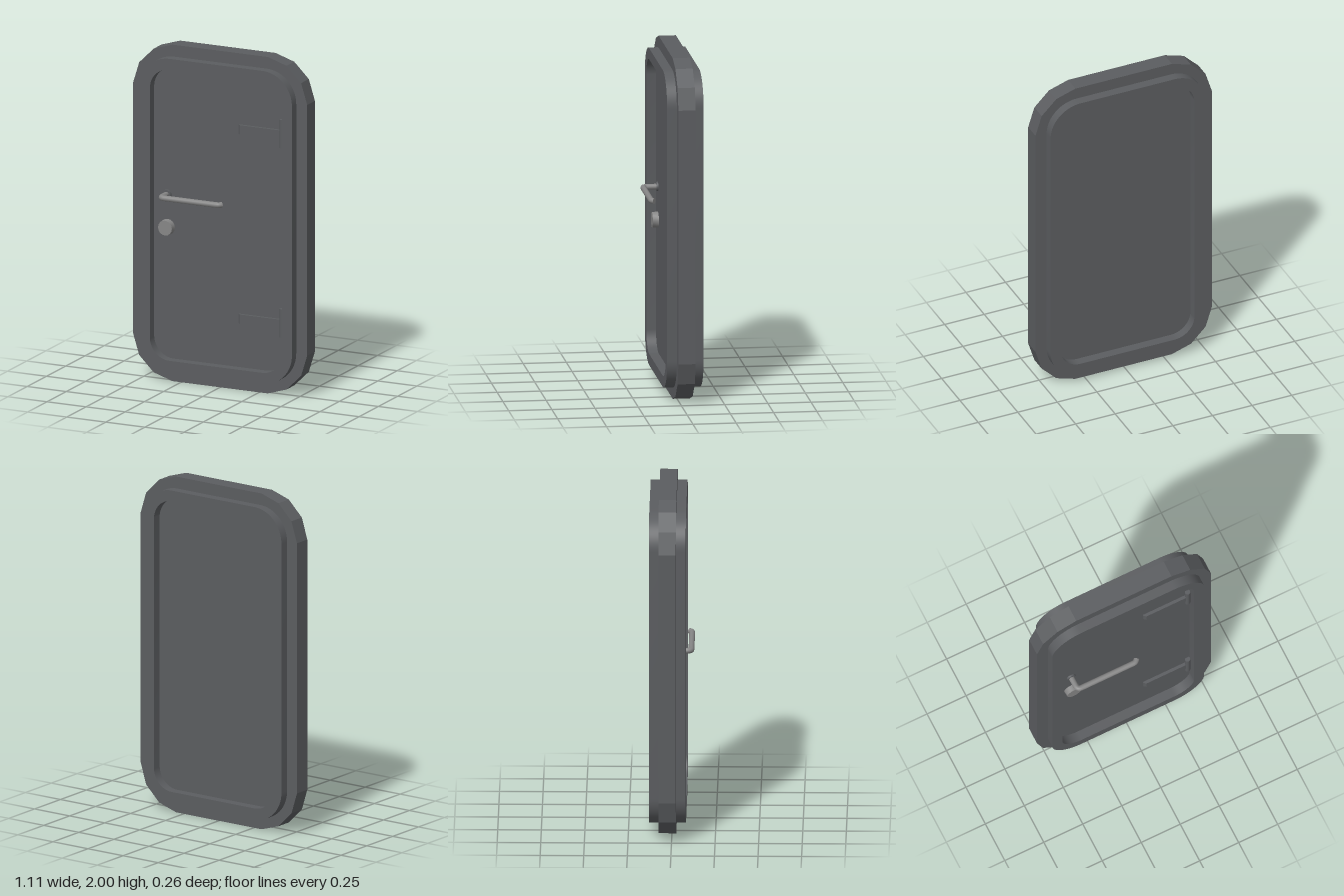
import * as THREE from 'three';
import { toCreasedNormals } from 'three/addons/utils/BufferGeometryUtils.js';

const CY = 1; // mid height of the door
const PANEL_Z = 0.025; // front face of the door leaf

function roundedOutline(Type, hw, hh, r) {
  const s = new Type();
  s.moveTo(hw, CY - hh + r);
  [[1, 1, 0], [-1, 1, 1], [-1, -1, 2], [1, -1, 3]].forEach(([sx, sy, q]) => {
    s.absarc(sx * (hw - r), CY + sy * (hh - r), r, q * Math.PI / 2, (q + 1) * Math.PI / 2, false);
  });
  s.closePath();
  return s;
}

function slab(shape, zBack, zFront, crease) {
  const g = new THREE.ExtrudeGeometry(shape, { depth: zFront - zBack, bevelEnabled: false, curveSegments: 10 });
  g.translate(0, 0, zBack);
  return crease ? toCreasedNormals(g, crease) : g;
}

export function createModel() {
  const model = new THREE.Group();
  const paint = new THREE.MeshStandardMaterial({ name: 'darkGreyPaint', color: 0x5b5d60 });
  const steel = new THREE.MeshStandardMaterial({ name: 'lightSteel', color: 0x868686 });

  const add = (name, geometry, material, parent = model) => {
    const mesh = new THREE.Mesh(geometry, material);
    mesh.name = name;
    parent.add(mesh);
    return mesh;
  };

  // Outer flange with faceted corners
  const corner = [[0.557, 0.745], [0.518, 0.87], [0.425, 0.962], [0.305, 1]];
  const mirrored = (sx, sy) => corner.map(([x, y]) => new THREE.Vector2(sx * x, CY + sy * y));
  const flange = new THREE.Shape([
    ...mirrored(1, 1), ...mirrored(-1, 1).reverse(),
    ...mirrored(-1, -1), ...mirrored(1, -1).reverse(),
  ]);
  flange.holes.push(roundedOutline(THREE.Path, 0.45, 0.895, 0.155));
  add('outerFlange', slab(flange, -0.075, 0.025), paint);

  // Raised smooth rim around the opening, standing out on both sides
  const rim = roundedOutline(THREE.Shape, 0.487, 0.93, 0.19);
  rim.holes.push(roundedOutline(THREE.Path, 0.422, 0.865, 0.125));
  add('rim', slab(rim, -0.13, 0.081, 0.6), paint);

  // Recessed door leaf
  add('doorPanel', slab(roundedOutline(THREE.Shape, 0.43, 0.873, 0.133), -0.075, PANEL_Z, 0.6), paint);

  // Hinges
  [0.433, 1.558].forEach((y, i) => {
    const hinge = new THREE.Group();
    hinge.name = i ? 'upperHinge' : 'lowerHinge';
    hinge.position.set(0, y, PANEL_Z);
    model.add(hinge);
    // Strap with a sloping free end
    const profile = new THREE.Shape();
    profile.moveTo(0.122, -0.01);
    profile.lineTo(0.41, -0.01);
    profile.lineTo(0.41, 0.018);
    profile.lineTo(0.136, 0.018);
    profile.lineTo(0.122, 0.006);
    profile.closePath();
    const strap = new THREE.ExtrudeGeometry(profile, { depth: 0.056, bevelEnabled: false });
    strap.rotateX(Math.PI / 2).translate(0, 0.02, 0);
    add('hingeStrap', strap, paint, hinge);
    const pin = add('hingePin', new THREE.CylinderGeometry(0.016, 0.016, 0.17, 12), paint, hinge);
    pin.position.set(0.403, 0, 0.01);
  });

  // Lever handle: a bent rod from the panel with its tip turned back
  const v = (x, z) => new THREE.Vector3(x, 1.107, z);
  const path = new THREE.CurvePath();
  path.add(new THREE.LineCurve3(v(-0.34, 0.02), v(-0.34, 0.087)));
  path.add(new THREE.QuadraticBezierCurve3(v(-0.34, 0.087), v(-0.34, 0.112), v(-0.315, 0.112)));
  path.add(new THREE.LineCurve3(v(-0.315, 0.112), v(0.02, 0.112)));
  path.add(new THREE.QuadraticBezierCurve3(v(0.02, 0.112), v(0.033, 0.112), v(0.045, 0.097)));
  add('leverHandle', new THREE.TubeGeometry(path, 64, 0.0168, 12, false), steel);
  const tip = add('handleTip', new THREE.CircleGeometry(0.0168, 12), steel);
  tip.position.copy(v(0.045, 0.097));
  tip.lookAt(v(0.045 + 0.62, 0.097 - 0.78));

  // Round plate behind the handle and lock knob below it
  const disc = (name, x, y, r, height, material) => {
    const g = new THREE.CylinderGeometry(r * 0.92, r, height + 0.01, 16);
    g.rotateX(Math.PI / 2);
    add(name, toCreasedNormals(g, 0.6), material).position.set(x, y, PANEL_Z + (height - 0.01) / 2);
  };
  disc('handlePlate', -0.339, 1.108, 0.029, 0.01, paint);
  disc('lockKnob', -0.336, 0.914, 0.048, 0.035, steel);

  return model;
}
